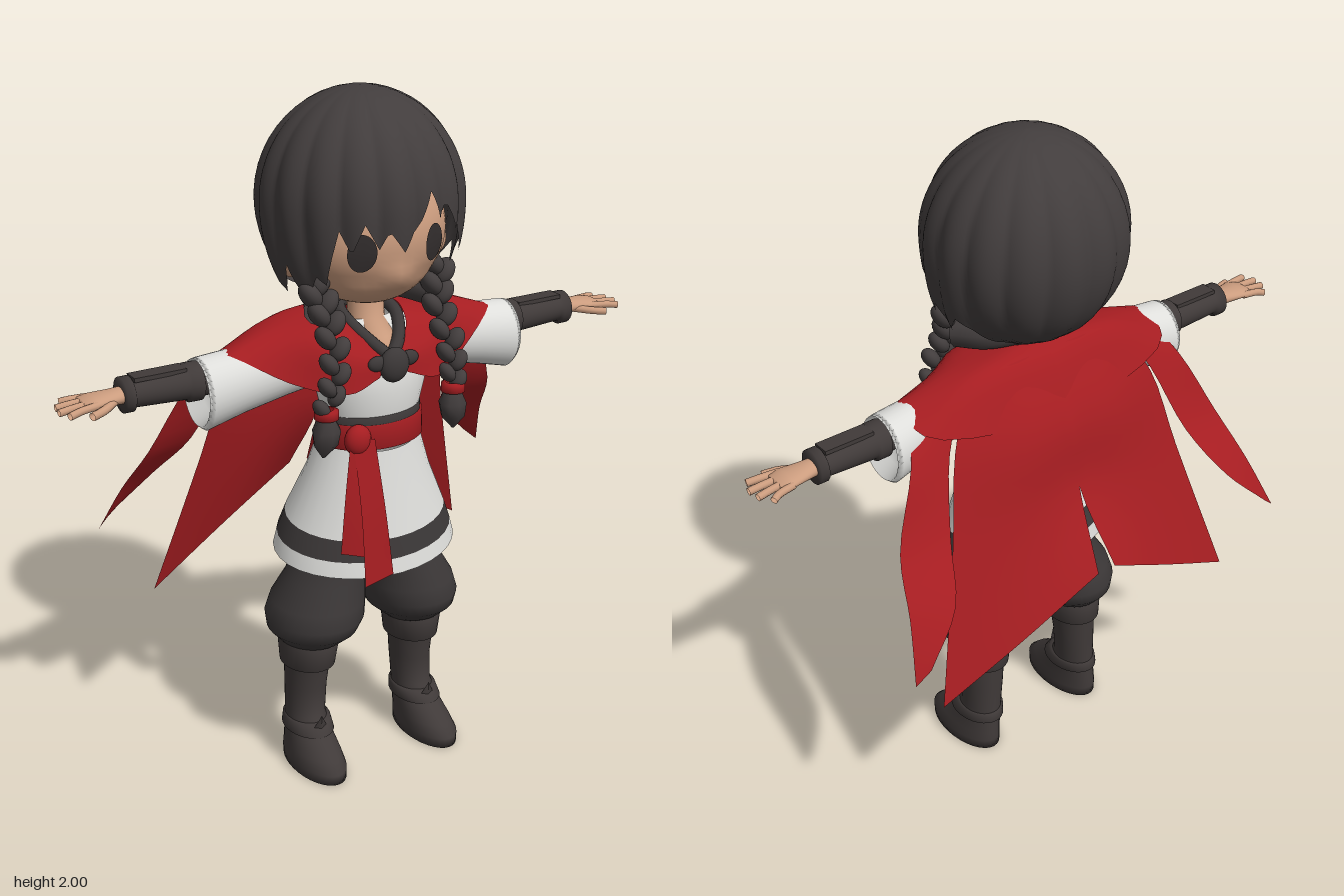
import * as THREE from 'three';

const mat = (name, color) => new THREE.MeshStandardMaterial({ name, color, side: THREE.DoubleSide });
const M = {
  hair: mat('hair', 0x423d3d), dark: mat('darkCloth', 0x3c3838), boot: mat('leather', 0x403a39),
  white: mat('whiteCloth', 0xdededb), red: mat('redCloth', 0xa61d21), skin: mat('skin', 0xcb9c7e), eye: mat('eye', 0x332e2e),
};
const V = (x, y, z) => new THREE.Vector3(x, y, z);

function add(parent, name, geo, material, pos = [0, 0, 0], scale = [1, 1, 1], rot = [0, 0, 0]) {
  const m = new THREE.Mesh(geo, material);
  m.name = name;
  m.position.set(...pos);
  m.scale.set(...scale);
  m.rotation.set(...rot);
  parent.add(m);
  return m;
}

// Skin a list of point rows; closed rows join end to start
function loft(rows, closed) {
  const n = rows[0].length, pos = [], idx = [];
  rows.forEach(r => r.forEach(p => pos.push(p.x, p.y, p.z)));
  for (let i = 0; i < rows.length - 1; i++) {
    for (let j = 0; j < (closed ? n : n - 1); j++) {
      const k = (j + 1) % n, a = i * n + j, b = i * n + k, c = b + n, d = a + n;
      idx.push(a, b, d, b, c, d);
    }
  }
  const g = new THREE.BufferGeometry();
  g.setAttribute('position', new THREE.Float32BufferAttribute(pos, 3));
  g.setIndex(idx);
  g.computeVertexNormals();
  return g;
}

// Elliptical rings [along, centre1, centre2, radius1, radius2], down y or out along x
function rings(list, axis = 'y', tilt = 0, sides = 32) {
  return loft(list.map(([t, c1, c2, r1, r2 = r1]) => Array.from({ length: sides }, (_, j) => {
    const a = j / sides * Math.PI * 2, u = c1 + r1 * Math.cos(a), w = c2 + r2 * Math.sin(a);
    return axis === 'y' ? V(u, t - tilt * Math.sin(a), w) : V(t, u, w);
  })), true);
}

// Smooth cloth sheet through a small grid of points
function sheet(rows, nu = 10, nv = 12) {
  const curve = (pts, n) => new THREE.CatmullRomCurve3(pts, false, 'centripetal').getPoints(n);
  const wide = rows.map(r => curve(r.map(p => V(...p)), nu));
  const cols = wide[0].map((_, j) => curve(wide.map(r => r[j]), nv));
  return loft(cols[0].map((_, i) => cols.map(c => c[i])), false);
}

const tube = (pts, r, n = 16) => new THREE.TubeGeometry(new THREE.CatmullRomCurve3(pts.map(p => V(...p))), n, r, 10);
const ball = new THREE.SphereGeometry(1, 20, 14);

// Hem height of the hair by angle from the front, in degrees
const HEM = [[-180, 1.41], [-140, 1.42], [-115, 1.46], [-96, 1.53], [-86, 1.47], [-76, 1.56], [-67, 1.46], [-56, 1.54],
  [-50, 1.52], [-42, 1.67], [-35, 1.61], [-28, 1.69], [-20, 1.62], [-15, 1.67], [-6, 1.61], [4, 1.69], [10, 1.76],
  [18, 1.68], [23, 1.72], [32, 1.64], [37, 1.68], [48, 1.56], [55, 1.62], [66, 1.46], [76, 1.55], [86, 1.48],
  [96, 1.54], [115, 1.46], [140, 1.42], [180, 1.41]];
function hemAt(deg) {
  const i = Math.max(1, HEM.findIndex(h => h[0] >= deg));
  const [a, ya] = HEM[i - 1], [b, yb] = HEM[i];
  return ya + (yb - ya) * (deg - a) / (b - a);
}

function hairCap() {
  const cols = 180, steps = 20, rows = [];
  for (let i = 0; i <= steps; i++) {
    rows.push(Array.from({ length: cols }, (_, j) => {
      const deg = 180 - j * 360 / cols, th = deg * Math.PI / 180, s = Math.sin(th), c = Math.cos(th);
      const al = i / steps * Math.acos((hemAt(deg) - 1.695) / 0.295);
      const ridge = 1 + 0.05 * (Math.abs(Math.sin(th * 8 + al * 0.5 * s)) - 0.7) * Math.sin(al);
      const low = al > Math.PI / 2 && c > -0.5 ? 1 - 0.55 * Math.min(1, (c + 0.5) * 2) : 1;
      const r = Math.pow(Math.max(Math.sin(al), 0.001), low) * ridge;
      return V(0.285 * r * s, 1.695 + 0.3 * Math.cos(al), 0.04 + (c > 0 ? 0.285 : 0.27) * r * c);
    }));
  }
  return loft(rows, true);
}

// Face surface, used for the head and for laying the eyes on it
const faceZ = (x, y) => 0.06 + 0.2 * Math.sqrt(Math.max(0, 1 - (x / 0.235) ** 2 - ((y - 1.61) / 0.2) ** 2));

function buildHead(root) {
  const head = new THREE.Group();
  head.name = 'head';
  root.add(head);
  const g = new THREE.SphereGeometry(1, 40, 30), p = g.attributes.position;
  for (let i = 0; i < p.count; i++) {
    const x = p.getX(i), y = p.getY(i), z = p.getZ(i);
    // small pointed nose and a chin set forward
    const nose = z > 0 ? 0.022 * Math.exp(-((x / 0.2) ** 2) - ((y + 0.5) / 0.18) ** 2) : 0;
    const chin = y < -0.5 ? 0.07 * (-y - 0.5) : 0;
    p.setXYZ(i, x * 0.235, 1.61 + y * 0.195, 0.06 + z * 0.2 + nose + chin);
  }
  g.computeVertexNormals();
  add(head, 'face', g, M.skin);
  add(head, 'hair', hairCap(), M.hair);
  for (const s of [-1, 1]) {
    const e = new THREE.CircleGeometry(1, 28), q = e.attributes.position;
    for (let i = 0; i < q.count; i++) {
      const x = s * 0.112 + q.getX(i) * 0.036, y = 1.597 + q.getY(i) * 0.052;
      q.setXYZ(i, x, y, faceZ(x, y) + 0.009);
    }
    e.computeVertexNormals();
    add(head, 'eye', e, M.eye);
    add(head, 'ear', ball, M.skin, [s * 0.235, 1.555, 0.07], [0.02, 0.045, 0.035]);
  }
  add(head, 'neck', rings([[1.46, 0, 0.07, 0.05], [1.37, 0, 0.075, 0.052], [1.33, 0, 0.1, 0.06, 0.075], [1.28, 0, 0.11, 0.05, 0.09]]), M.skin);
}

function buildBody(root) {
  add(root, 'tunic', rings([[1.37, 0, 0.07, 0.08, 0.05], [1.33, 0, 0.08, 0.14, 0.075], [1.27, 0, 0.1, 0.17, 0.105],
    [1.18, 0, 0.1, 0.165, 0.12], [1.1, 0, 0.1, 0.145, 0.108]]), M.white);
  add(root, 'waistband', rings([[1.115, 0, 0.1, 0.14, 0.1], [1.113, 0, 0.1, 0.15, 0.114], [1.085, 0, 0.1, 0.15, 0.114]]), M.dark);
  add(root, 'belt', rings([[1.092, 0, 0.1, 0.145, 0.108], [1.09, 0, 0.1, 0.157, 0.12], [1.02, 0, 0.1, 0.157, 0.12], [1.018, 0, 0.1, 0.14, 0.1]]), M.red);
  // Skirt in three bands
  const line = [[1.04, 0, 0.1, 0.148, 0.112], [0.92, 0, 0.09, 0.187, 0.142], [0.79, 0, 0.075, 0.245, 0.183],
    [0.73, 0, 0.07, 0.268, 0.198], [0.685, 0, 0.07, 0.28, 0.206]];
  add(root, 'skirt', rings(line.slice(0, 3), 'y', 0.03), M.white);
  add(root, 'skirtStripe', rings(line.slice(2, 4), 'y', 0.03), M.dark);
  add(root, 'skirtHem', rings(line.slice(3), 'y', 0.03), M.white);
  // Sash knot and tails
  add(root, 'sashKnot', ball, M.red, [-0.1, 1.055, 0.2], [0.04, 0.045, 0.03]);
  add(root, 'sashTail', sheet([[[-0.12, 1.06, 0.21], [-0.06, 1.06, 0.225]], [[-0.12, 0.85, 0.255], [-0.05, 0.85, 0.27]],
    [[-0.125, 0.645, 0.285], [-0.04, 0.67, 0.295]]]), M.red);
  add(root, 'sashTail', sheet([[[-0.13, 1.05, 0.21], [-0.08, 1.05, 0.22]], [[-0.155, 0.9, 0.225], [-0.1, 0.9, 0.245]],
    [[-0.175, 0.74, 0.235], [-0.115, 0.73, 0.27]]]), M.red);
  // Clasp
  add(root, 'clasp', ball, M.dark, [0, 1.265, 0.225], [0.045, 0.05, 0.028]);
}

function buildSide(side) {
  // Collar edge
  add(side, 'collar', tube([[0, 1.4, 0.0], [0.06, 1.395, 0.03], [0.078, 1.375, 0.1], [0.045, 1.325, 0.175], [0, 1.28, 0.21]], 0.018), M.dark);
  add(side, 'claspBow', ball, M.dark, [0.05, 1.275, 0.22], [0.03, 0.022, 0.015]);

  // Arm
  add(side, 'sleeve', rings([[0.1, 1.27, 0.06, 0.07], [0.25, 1.255, 0.045, 0.085, 0.075], [0.38, 1.235, 0.04, 0.092, 0.08],
    [0.49, 1.215, 0.035, 0.102, 0.088], [0.505, 1.22, 0.035, 0.095, 0.082], [0.46, 1.23, 0.035, 0.08, 0.07], [0.44, 1.24, 0.035, 0.01]], 'x'), M.white);
  add(side, 'bracer', rings([[0.42, 1.255, 0.035, 0.04], [0.495, 1.255, 0.033, 0.045], [0.5, 1.255, 0.033, 0.054], [0.535, 1.255, 0.032, 0.054],
    [0.54, 1.255, 0.032, 0.046], [0.69, 1.255, 0.03, 0.039], [0.695, 1.255, 0.03, 0.049], [0.72, 1.255, 0.03, 0.049], [0.722, 1.255, 0.03, 0.02]], 'x'), M.boot);
  add(side, 'bracerPlate', new THREE.BoxGeometry(0.15, 0.012, 0.05), M.boot, [0.615, 1.297, 0.031]);
  add(side, 'palm', rings([[0.71, 1.255, 0.03, 0.024, 0.028], [0.75, 1.255, 0.03, 0.02, 0.036], [0.8, 1.255, 0.03, 0.017, 0.046],
    [0.83, 1.253, 0.028, 0.012, 0.042], [0.835, 1.253, 0.028, 0.002]], 'x'), M.skin);
  for (let i = 0; i < 4; i++) {
    const z = -0.008 + i * 0.025, tip = [0.87, 0.895, 0.9, 0.885][i];
    add(side, 'finger', tube([[0.8, 1.254, z], [0.85, 1.252, z + (i - 1.5) * 0.006], [tip, 1.247, z + (i - 1.5) * 0.012]], 0.0105, 6), M.skin);
  }
  add(side, 'thumb', tube([[0.745, 1.25, 0.05], [0.79, 1.245, 0.085], [0.83, 1.24, 0.1]], 0.0115, 8), M.skin);

  // Leg
  add(side, 'trouserLeg', rings([[0.8, 0.08, 0.07, 0.09, 0.11], [0.68, 0.105, 0.065, 0.105, 0.115], [0.6, 0.13, 0.065, 0.115, 0.125],
    [0.53, 0.152, 0.06, 0.137, 0.147], [0.48, 0.162, 0.058, 0.142, 0.157], [0.44, 0.168, 0.055, 0.13, 0.145], [0.405, 0.172, 0.05, 0.095, 0.11], [0.38, 0.175, 0.05, 0.07]]), M.dark);
  add(side, 'bootCuff', rings([[0.405, 0.178, 0.05, 0.07], [0.402, 0.178, 0.05, 0.088, 0.102], [0.32, 0.18, 0.045, 0.078, 0.094], [0.315, 0.18, 0.045, 0.06, 0.07]]), M.boot);
  add(side, 'boot', rings([[0.34, 0.18, 0.045, 0.066, 0.08], [0.24, 0.183, 0.038, 0.06, 0.07], [0.15, 0.187, 0.04, 0.057, 0.068],
    [0.1, 0.19, 0.065, 0.062, 0.095], [0.06, 0.193, 0.095, 0.068, 0.127], [0.03, 0.195, 0.11, 0.073, 0.143], [0, 0.195, 0.11, 0.072, 0.142], [0, 0.195, 0.11, 0.001]]), M.boot);
  add(side, 'ankleStrap', rings([[0.14, 0.187, 0.045, 0.058, 0.07], [0.137, 0.187, 0.05, 0.066, 0.085], [0.108, 0.189, 0.06, 0.07, 0.098], [0.105, 0.19, 0.06, 0.06, 0.09]]), M.boot);
  add(side, 'bootTongue', new THREE.ConeGeometry(0.035, 0.07, 4), M.boot, [0.188, 0.14, 0.135], [1, 1, 0.4], [0.25, 0, 0]);

  // Shoulder cape, neck edge to hem
  add(side, 'shoulderCape', sheet([
    [[0.01, 1.285, 0.21], [0.03, 1.265, 0.222], [0.045, 1.235, 0.225]],
    [[0.075, 1.345, 0.165], [0.13, 1.3, 0.205], [0.14, 1.205, 0.225]],
    [[0.095, 1.38, 0.11], [0.2, 1.345, 0.15], [0.27, 1.235, 0.155]],
    [[0.1, 1.39, 0.06], [0.26, 1.37, 0.05], [0.425, 1.32, 0.06]],
    [[0.085, 1.4, 0.0], [0.25, 1.37, -0.03], [0.42, 1.27, -0.06]],
    [[0, 1.4, -0.03], [0, 1.36, -0.08], [0, 1.2, -0.155]]], 10, 24), M.red);
  // Hanging back panel and narrow side panel
  add(side, 'backPanel', sheet([
    [[0, 1.38, -0.05], [0.13, 1.38, -0.05], [0.26, 1.355, -0.03]],
    [[0, 1.2, -0.16], [0.16, 1.2, -0.155], [0.35, 1.2, -0.09]],
    [[0, 1.0, -0.195], [0.2, 0.98, -0.195], [0.41, 0.95, -0.15]],
    [[0.03, 0.78, -0.32], [0.28, 0.645, -0.29], [0.53, 0.51, -0.25]]]), M.red);
  add(side, 'sidePanel', sheet([
    [[0.27, 1.355, -0.03], [0.41, 1.32, 0.03]], [[0.36, 1.2, -0.08], [0.48, 1.2, -0.07]],
    [[0.43, 1.0, -0.17], [0.575, 1.0, -0.14]], [[0.5, 0.87, -0.28], [0.62, 0.86, -0.24]],
    [[0.62, 0.75, -0.33], [0.665, 0.71, -0.32]]], 6, 16), M.red);

  // Braid
  add(side, 'braidRoot', tube([[0.04, 1.44, 0.0], [0.13, 1.43, 0.05], [0.18, 1.42, 0.13]], 0.042), M.hair);
  const path = new THREE.CatmullRomCurve3([V(0.2, 1.5, 0.13), V(0.175, 1.4, 0.17), V(0.185, 1.28, 0.225), V(0.205, 1.16, 0.21)]);
  for (let i = 0; i < 12; i++) {
    const c = path.getPoint(i / 11.5), s = i % 2 ? 1 : -1, w = 1 - i * 0.025;
    add(side, 'braidStrand', ball, M.hair, [c.x + s * 0.019, c.y, c.z], [0.028 * w, 0.042 * w, 0.036 * w], [0, 0, s * -0.6]);
  }
  add(side, 'braidTie', rings([[1.172, 0.205, 0.21, 0.02], [1.168, 0.205, 0.21, 0.034], [1.145, 0.205, 0.21, 0.034], [1.14, 0.205, 0.21, 0.02]]), M.red);
  add(side, 'braidEnd', rings([[1.15, 0.205, 0.21, 0.022], [1.11, 0.205, 0.21, 0.042, 0.038], [1.07, 0.207, 0.21, 0.036, 0.032], [1.03, 0.212, 0.205, 0.004]], 'y', 0, 8), M.hair);
}

export function createModel() {
  const root = new THREE.Group();
  root.name = 'capedFigure';
  buildHead(root);
  buildBody(root);
  for (const s of [1, -1]) {
    const side = new THREE.Group();
    side.name = s > 0 ? 'leftSide' : 'rightSide';
    buildSide(side);
    side.scale.x = s;
    root.add(side);
  }
  return root;
}
